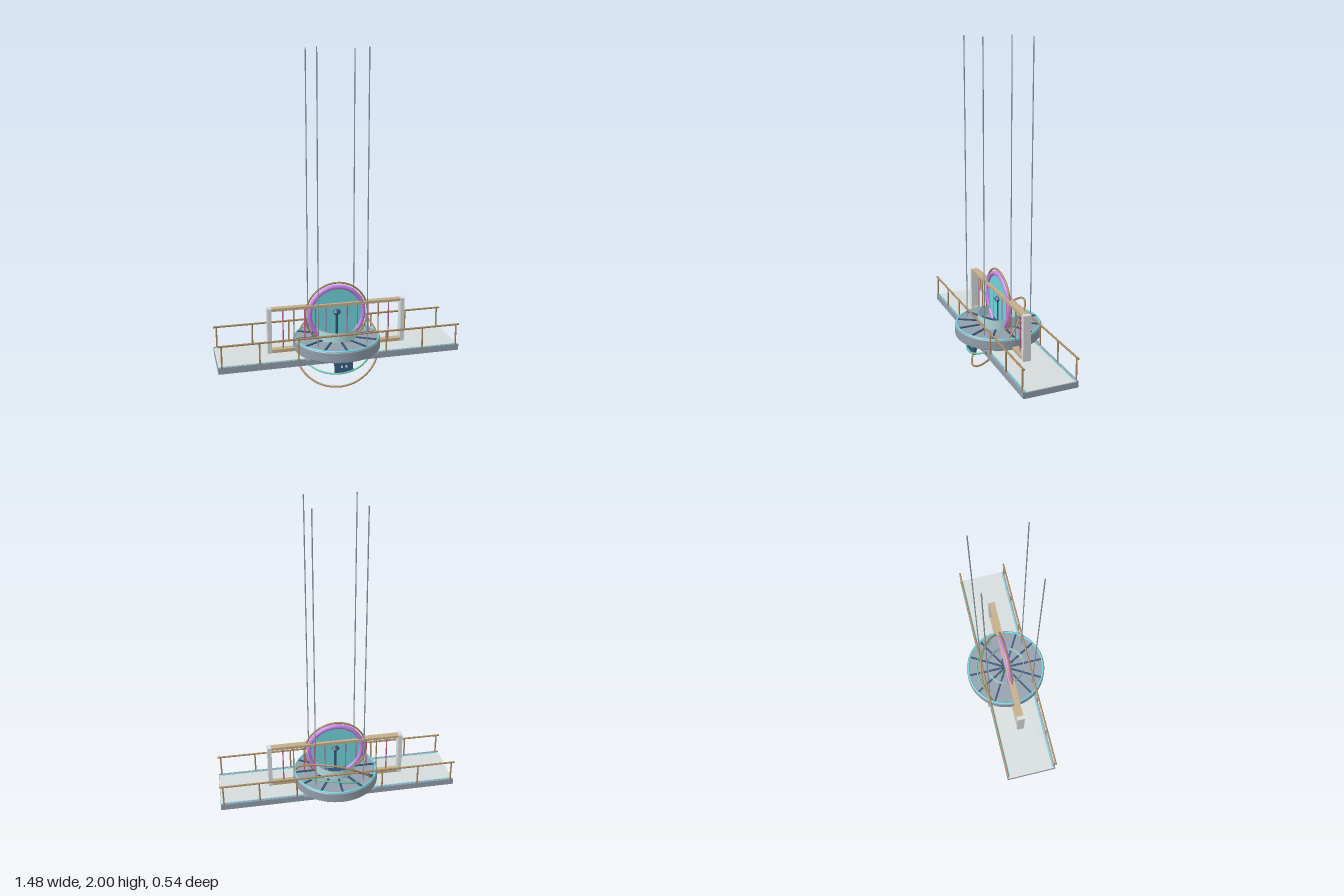
import * as THREE from 'three';

export function createModel() {
  const model = new THREE.Group();
  const mat = (name, color, side = THREE.FrontSide) => {
    const m = new THREE.MeshStandardMaterial({ color, side });
    m.name = name;
    return m;
  };
  const lightGrey = mat('light grey', 0xd6dcdc);
  const slate = mat('slate', 0x929fab);
  const navy = mat('navy', 0x325375);
  const teal = mat('teal', 0x70d2dc);
  const paleTeal = mat('pale teal glass', 0xb2dadc, THREE.DoubleSide);
  const purple = mat('purple', 0xc684e4);
  const brown = mat('brown', 0xa88a62);
  const tan = mat('tan', 0xc4ae8a);
  const green = mat('green', 0x60c4a2);
  const plum = mat('plum', 0xc0648e);

  const add = (name, geo, material, x = 0, y = 0, z = 0) => {
    const mesh = new THREE.Mesh(geo, material);
    mesh.name = name;
    mesh.position.set(x, y, z);
    model.add(mesh);
    return mesh;
  };
  const box = (name, m, w, h, d, x, y, z) => add(name, new THREE.BoxGeometry(w, h, d), m, x, y, z);
  const rod = (name, m, r, y0, y1, x, z) =>
    add(name, new THREE.CylinderGeometry(r, r, y1 - y0, 10), m, x, (y0 + y1) / 2, z);

  // Deck with raised edges and a thin light strip along each side
  box('deckBody', slate, 1.48, 0.034, 0.32, 0, 0.183, 0);
  box('deckSurface', lightGrey, 1.476, 0.004, 0.306, 0, 0.202, 0);
  box('drumMount', slate, 0.45, 0.018, 0.35, 0, 0.195, 0);
  for (const s of [-1, 1]) {
    box('deckEdge', slate, 1.48, 0.038, 0.012, 0, 0.187, s * 0.158);
    box('deckStrip', teal, 1.46, 0.003, 0.006, 0, 0.2045, s * 0.147);
    // Railing
    const rail = rod('handRail', brown, 0.006, -0.74, 0.74, 0, 0);
    rail.rotation.z = Math.PI / 2;
    rail.position.set(0, 0.335, s * 0.16);
    for (const x of [-0.72, -0.5, -0.27, 0.27, 0.5, 0.72])
      rod('railPost', brown, 0.005, 0.2, 0.335, x, s * 0.16);
    // Suspension cables
    for (const x of [-0.15, 0.15]) rod('cable', slate, 0.0035, 0.2, 2, x, s * 0.15);
  }

  // Round turntable with rim and radial ribs
  const profile = [[0, 0.203], [0.262, 0.203], [0.268, 0.209], [0.268, 0.265], [0.262, 0.271], [0, 0.271]]
    .map(([x, y]) => new THREE.Vector2(x, y));
  // Each segment is lathed separately so its edges stay crisp
  for (let i = 0; i < profile.length - 1; i++)
    add('turntable', new THREE.LatheGeometry([profile[i], profile[i + 1]], 64), slate);
  add('turntableRim', new THREE.TorusGeometry(0.258, 0.006, 10, 72), teal, 0, 0.271, 0).rotation.x = Math.PI / 2;
  for (let i = 0; i < 6; i++)
    box('rib', navy, 0.505, 0.008, 0.012, 0, 0.273, 0).rotation.y = i * Math.PI / 6;
  add('glassWall', new THREE.CylinderGeometry(0.125, 0.125, 0.063, 48, 1, true), paleTeal, 0, 0.303, 0);

  // Upright frame with thin strings
  for (const s of [-1, 1]) box('framePost', lightGrey, 0.025, 0.28, 0.048, s * 0.418, 0.345, 0);
  box('topBeam', tan, 0.815, 0.017, 0.04, 0, 0.475, 0);
  box('lowerBeam', tan, 0.815, 0.02, 0.04, 0, 0.215, 0);
  for (let i = 1; i <= 5; i++)
    for (const s of [-1, 1])
      rod('string', i === 4 ? brown : plum, 0.004, 0.22, 0.47, s * i * 0.0667, 0);

  // Round portal
  const disc = add('portalDisc', new THREE.CylinderGeometry(0.165, 0.165, 0.003, 64), teal, 0, 0.415, 0);
  disc.rotation.x = Math.PI / 2;
  add('portalRing', new THREE.TorusGeometry(0.17, 0.015, 12, 72), purple, 0, 0.415, 0);
  add('outerRing', new THREE.TorusGeometry(0.196, 0.006, 10, 72), brown, 0, 0.415, 0);

  // Central stalk with its cap
  rod('stalk', navy, 0.008, 0.271, 0.42, 0, 0);
  add('stalkCollar', new THREE.CylinderGeometry(0.028, 0.01, 0.018, 24), navy, 0, 0.416, 0);
  add('stalkCap', new THREE.CylinderGeometry(0.012, 0.028, 0.018, 24), navy, 0, 0.434, 0);

  // Tilted orbit rings
  const orbit = (name, m, radius, tube, normal) => {
    const ring = add(name, new THREE.TorusGeometry(radius, tube, 10, 96), m, 0, 0.207, 0);
    ring.quaternion.setFromUnitVectors(new THREE.Vector3(0, 0, 1), new THREE.Vector3(...normal).normalize());
  };
  orbit('largeOrbit', brown, 0.258, 0.006, [-0.28, 0.64, 0.71]);
  orbit('smallOrbit', green, 0.22, 0.005, [-0.15, 0.89, 0.43]);

  // Control panel hung on the front edge
  const panel = new THREE.Group();
  panel.name = 'controlPanel';
  panel.position.set(0, 0.138, 0.172);
  panel.rotation.x = -0.25;
  model.add(panel);
  const panelPart = (name, m, w, h, d, x, y, z) => panel.add(box(name, m, w, h, d, x, y, z));
  panelPart('panelBody', navy, 0.112, 0.064, 0.016, 0, 0, 0);
  for (const x of [-0.014, 0.014]) panelPart('panelButton', lightGrey, 0.01, 0.014, 0.005, x, 0.004, 0.009);

  // Emitter and square hatch outline under the deck
  add('emitter', new THREE.CylinderGeometry(0.055, 0.042, 0.03, 32), navy, 0, 0.153, 0);
  add('emitterRing', new THREE.TorusGeometry(0.036, 0.005, 8, 40), teal, 0, 0.138, 0).rotation.x = Math.PI / 2;
  for (const s of [-1, 1]) {
    box('hatchEdge', slate, 0.19, 0.004, 0.004, 0, 0.165, s * 0.095);
    box('hatchEdge', slate, 0.004, 0.004, 0.19, s * 0.095, 0.165, 0);
  }
  return model;
}
